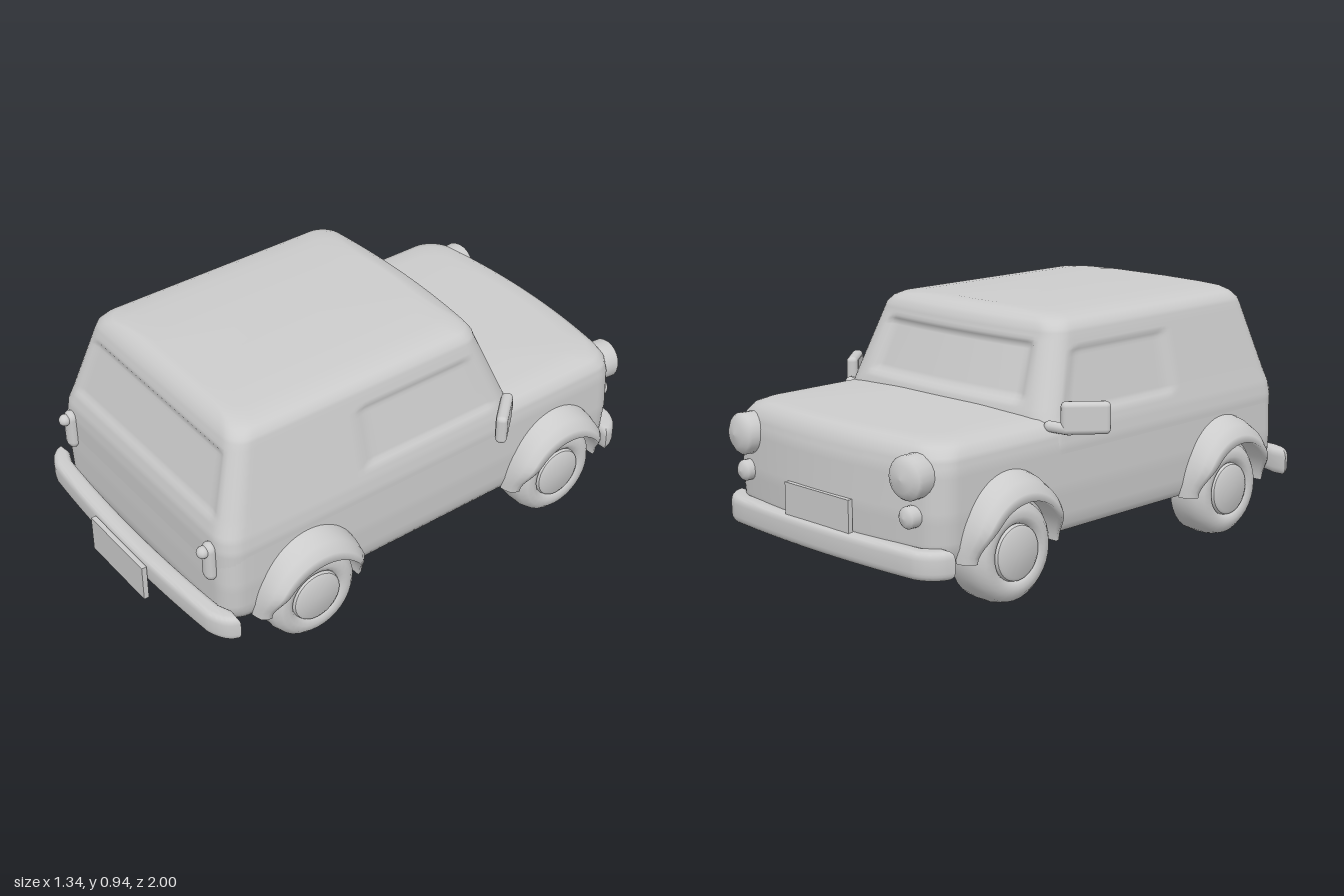
import * as THREE from 'three';
import { toCreasedNormals } from 'three/addons/utils/BufferGeometryUtils.js';
import { RoundedBoxGeometry } from 'three/addons/geometries/RoundedBoxGeometry.js';

const mat = new THREE.MeshStandardMaterial({ color: 0xcccccc, roughness: 0.8 });
const thin = new THREE.MeshStandardMaterial({ color: 0xcccccc, roughness: 0.8, side: THREE.DoubleSide });

const add = (parent, name, geo, x = 0, y = 0, z = 0, material = mat) => {
  const mesh = new THREE.Mesh(geo, material);
  mesh.name = name;
  mesh.position.set(x, y, z);
  parent.add(mesh);
  return mesh;
};

// Horizontal rounded-rectangle ring; the nose side (-z) bows outward
function ring({ y, w, f, b, r, bow }) {
  const pts = [], corners = [[1, 1], [-1, 1], [-1, -1], [1, -1]];
  const arc = 7, side = 40;
  const at = (k, a) => {
    const [sx, sz] = corners[k % 4];
    const cz = sz > 0 ? b - r : f + r;
    return [sx * (w - r) + r * Math.cos(a), cz + r * Math.sin(a)];
  };
  for (let k = 0; k < 4; k++) {
    const a0 = k * Math.PI / 2, a1 = a0 + Math.PI / 2;
    for (let i = 0; i < arc; i++) pts.push(at(k, a0 + (a1 - a0) * i / arc));
    const p = at(k, a1), q = at(k + 1, a1);
    for (let i = 0; i < side; i++) {
      const t = i / side;
      pts.push([p[0] + (q[0] - p[0]) * t, p[1] + (q[1] - p[1]) * t]);
    }
  }
  const mid = (f + b) / 2;
  return pts.map(([x, z]) => {
    const front = Math.max(0, (mid - z) / (mid - f));
    return new THREE.Vector3(x, y, z - bow * front * front * (1 - (x / w) ** 2));
  });
}

// Skin over stacked layers [y, halfWidth, front, back, radius, bow], closed top and bottom
function loft(layers, step, topY, rule = () => {}) {
  const rings = [], keys = ['y', 'w', 'f', 'b', 'r', 'bow'];
  layers.forEach((layer, i) => {
    const next = layers[i + 1];
    const n = next ? Math.max(1, Math.round((next[0] - layer[0]) / step)) : 1;
    for (let j = 0; j < n; j++) {
      const o = {};
      keys.forEach((k, m) => { o[k] = next ? layer[m] + (next[m] - layer[m]) * j / n : layer[m]; });
      rings.push(ring(o));
    }
  });
  const n = rings[0].length, pos = [], idx = [];
  rings.flat().forEach(p => { rule(p); pos.push(p.x, p.y, p.z); });
  const last = (rings.length - 1) * n, c = rings.length * n;
  const lo = layers[0], hi = layers[layers.length - 1];
  pos.push(0, lo[0], (lo[2] + lo[3]) / 2, 0, topY, (hi[2] + hi[3]) / 2);
  for (let i = 0; i < n; i++) {
    const k = (i + 1) % n;
    for (let j = 0; j < rings.length - 1; j++) {
      const a = j * n + i, b = j * n + k;
      idx.push(a, a + n, b, b, a + n, b + n);
    }
    idx.push(c, i, k, c + 1, last + k, last + i);
  }
  const g = new THREE.BufferGeometry();
  g.setAttribute('position', new THREE.Float32BufferAttribute(pos, 3));
  g.setIndex(idx);
  g.computeVertexNormals();
  return g;
}

// Press the windows softly into the cabin
function recessWindows(p) {
  const s = (v, e) => THREE.MathUtils.smoothstep(v, 0, e);
  const ax = Math.abs(p.x), y = p.y;
  const t = (y - 0.6) / 0.23;
  const band = (lo, hi) => s(y - lo, 0.02) * s(hi - y, 0.02);
  if (p.z < -0.22 && ax < 0.42) {
    p.z += 0.02 * band(0.635, 0.845) * s(0.41 - 0.03 * t - ax, 0.025);
  } else if (p.z > 0.7 && ax < 0.47) {
    p.z -= 0.011 * band(0.6, 0.84) * s(0.465 - 0.045 * t - ax, 0.03);
  } else if (p.z > -0.34 && p.z < 0.3) {
    p.x -= Math.sign(p.x) * 0.01 * band(0.59, 0.825) * s(p.z + 0.32 - 0.1 * t, 0.035) * s(0.29 - p.z, 0.035);
  }
}

// Surface of revolution about the x axis from [radius, x] points
const turned = (pts, seg, start = 0, len = Math.PI * 2) =>
  new THREE.LatheGeometry(pts.map(p => new THREE.Vector2(...p)), seg, start, len).rotateZ(-Math.PI / 2);

// Wheel arch that stands out most above the wheel and sinks into the body at its feet
function arch() {
  const g = turned([
    [0.285, 0.53], [0.275, 0.57], [0.252, 0.612], [0.215, 0.638], [0.188, 0.648], [0.187, 0.625], [0.187, 0.5],
  ], 28, Math.PI, Math.PI);
  const p = g.attributes.position;
  for (let i = 0; i < p.count; i++) {
    const x = p.getX(i), y = p.getY(i), z = p.getZ(i);
    const spread = 0.5 + 0.5 * THREE.MathUtils.smoothstep(y, 0, 0.13);
    const tuck = 1 - 2 * Math.max(0, Math.hypot(y, z) - 0.19);
    p.setXYZ(i, x > 0.53 ? 0.53 + (x - 0.53) * spread : x, y, z * tuck);
  }
  g.computeVertexNormals();
  return g;
}

// Bowed bumper band drawn in plan and given a rounded height
function bumper(half, reach, wrap) {
  const s = new THREE.Shape();
  s.moveTo(-half, -wrap);
  s.quadraticCurveTo(-half + 0.02, -0.045, -half + 0.08, -0.03);
  s.quadraticCurveTo(0, reach, half - 0.08, -0.03);
  s.quadraticCurveTo(half - 0.02, -0.045, half, -wrap);
  s.lineTo(half - 0.03, -wrap);
  s.lineTo(half - 0.08, -0.058);
  s.quadraticCurveTo(0, reach - 0.03, -half + 0.08, -0.058);
  s.lineTo(-half + 0.03, -wrap);
  const g = new THREE.ExtrudeGeometry(s, {
    depth: 0.044, bevelEnabled: true, bevelThickness: 0.028, bevelSize: 0.02, bevelSegments: 4, curveSegments: 16,
  });
  return toCreasedNormals(g.rotateX(Math.PI / 2).translate(0, 0.022, 0), 0.8);
}

export function createModel() {
  const car = new THREE.Group();
  car.name = 'car';

  // Lower body with bonnet, nose towards -z
  add(car, 'lowerBody', loft([
    [0.095, 0.24, -0.6, 0.64, 0.1, 0],
    [0.13, 0.335, -0.75, 0.75, 0.1, 0.03],
    [0.168, 0.45, -0.86, 0.85, 0.1, 0.05],
    [0.195, 0.53, -0.89, 0.875, 0.09, 0.06],
    [0.24, 0.543, -0.9, 0.888, 0.08, 0.06],
    [0.35, 0.55, -0.905, 0.89, 0.08, 0.06],
    [0.5, 0.547, -0.9, 0.886, 0.08, 0.055],
    [0.55, 0.538, -0.892, 0.875, 0.08, 0.05],
    [0.58, 0.517, -0.877, 0.85, 0.09, 0.05],
    [0.594, 0.485, -0.853, 0.82, 0.1, 0.05],
    [0.6, 0.42, -0.8, 0.78, 0.1, 0.05],
  ], 0.02, 0.622));

  // Cabin with recessed windows and crowned roof
  add(car, 'cabin', loft([
    [0.4, 0.546, -0.43, 0.888, 0.08, 0],
    [0.5, 0.548, -0.42, 0.889, 0.08, 0.01],
    [0.55, 0.541, -0.405, 0.884, 0.08, 0.02],
    [0.61, 0.526, -0.385, 0.864, 0.08, 0.03],
    [0.86, 0.467, -0.285, 0.784, 0.07, 0.03],
    [0.885, 0.46, -0.278, 0.775, 0.07, 0.03],
    [0.91, 0.438, -0.262, 0.757, 0.07, 0.03],
    [0.924, 0.408, -0.24, 0.74, 0.07, 0.03],
    [0.931, 0.34, -0.22, 0.725, 0.07, 0.025],
    [0.939, 0.19, -0.2, 0.7, 0.07, 0.02],
  ], 0.012, 0.939, recessWindows));

  // Everything on one side, then mirrored
  for (const s of [1, -1]) {
    const half = new THREE.Group();
    half.name = s > 0 ? 'leftSide' : 'rightSide';
    half.scale.x = s;
    car.add(half);

    // Wheels and flared arches
    for (const [end, z, archZ] of [['front', -0.597, -0.594], ['rear', 0.543, 0.548]]) {
      add(half, end + 'Wheel', toCreasedNormals(turned([
        [0, -0.073], [0.18, -0.073], [0.184, -0.03], [0.183, 0.01], [0.173, 0.045], [0.15, 0.066],
        [0.125, 0.07], [0.106, 0.064], [0.1, 0.055], [0.096, 0.068], [0.085, 0.074], [0, 0.077],
      ], 32), 0.7), 0.525, 0.188, z);
      add(half, end + 'Arch', arch(), 0, 0.188, archZ, thin);
    }

    // Head lamps turned slightly outward, with small indicators below
    const lamp = (r, depth) => new THREE.LatheGeometry([
      [0, 0], [r * 0.9, 0], [r, depth * 0.3], [r, depth * 0.75], [r * 0.9, depth * 0.83],
      [r * 0.6, depth * 0.95], [0, depth],
    ].map(p => new THREE.Vector2(...p)), 20).rotateX(-Math.PI / 2);
    const headLamp = add(half, 'headLamp', lamp(0.076, 0.13), 0.43, 0.487, -0.86);
    headLamp.rotation.y = -0.1;
    add(half, 'indicator', lamp(0.038, 0.08), 0.435, 0.352, -0.892);

    // Tail lamps
    add(half, 'tailLamp', new THREE.CapsuleGeometry(0.03, 0.1, 4, 12).scale(1, 1, 0.8), 0.457, 0.45, 0.895);
    add(half, 'tailBulb', new THREE.SphereGeometry(0.023, 12, 10), 0.457, 0.5, 0.92);

    // Door mirror
    const mirror = new THREE.Group();
    mirror.name = 'doorMirror';
    mirror.position.set(0.607, 0.605, -0.283);
    mirror.rotation.y = -0.85;
    half.add(mirror);
    add(mirror, 'mirrorHousing', new RoundedBoxGeometry(0.172, 0.115, 0.042, 3, 0.018));
    add(mirror, 'mirrorGlass', new THREE.BoxGeometry(0.125, 0.085, 0.006), 0, 0, 0.02);
    const arm = add(mirror, 'mirrorArm', new THREE.CapsuleGeometry(0.02, 0.07, 4, 10), -0.09, -0.035, 0);
    arm.rotation.z = Math.PI / 2 - 0.2;
  }

  // Bumpers and blank plates
  add(car, 'rearBumper', bumper(0.58, 0.015, 0.078), 0, 0.23, 0.966);
  const front = add(car, 'frontBumper', bumper(0.55, 0.015, 0.1), 0, 0.2, -0.983);
  front.rotation.y = Math.PI;
  add(car, 'rearPlate', new THREE.BoxGeometry(0.345, 0.145, 0.02), 0, 0.19, 0.99);
  add(car, 'frontPlate', new THREE.BoxGeometry(0.34, 0.12, 0.018), 0, 0.305, -0.97);

  // Exhaust with hexagonal outlet
  const pipe = new THREE.CylinderGeometry(0.062, 0.062, 0.18, 6).rotateX(Math.PI / 2).rotateZ(Math.PI / 2);
  add(car, 'exhaust', toCreasedNormals(pipe.scale(1, 0.68, 1), 0.5), -0.285, 0.108, 0.77);

  return car;
}
